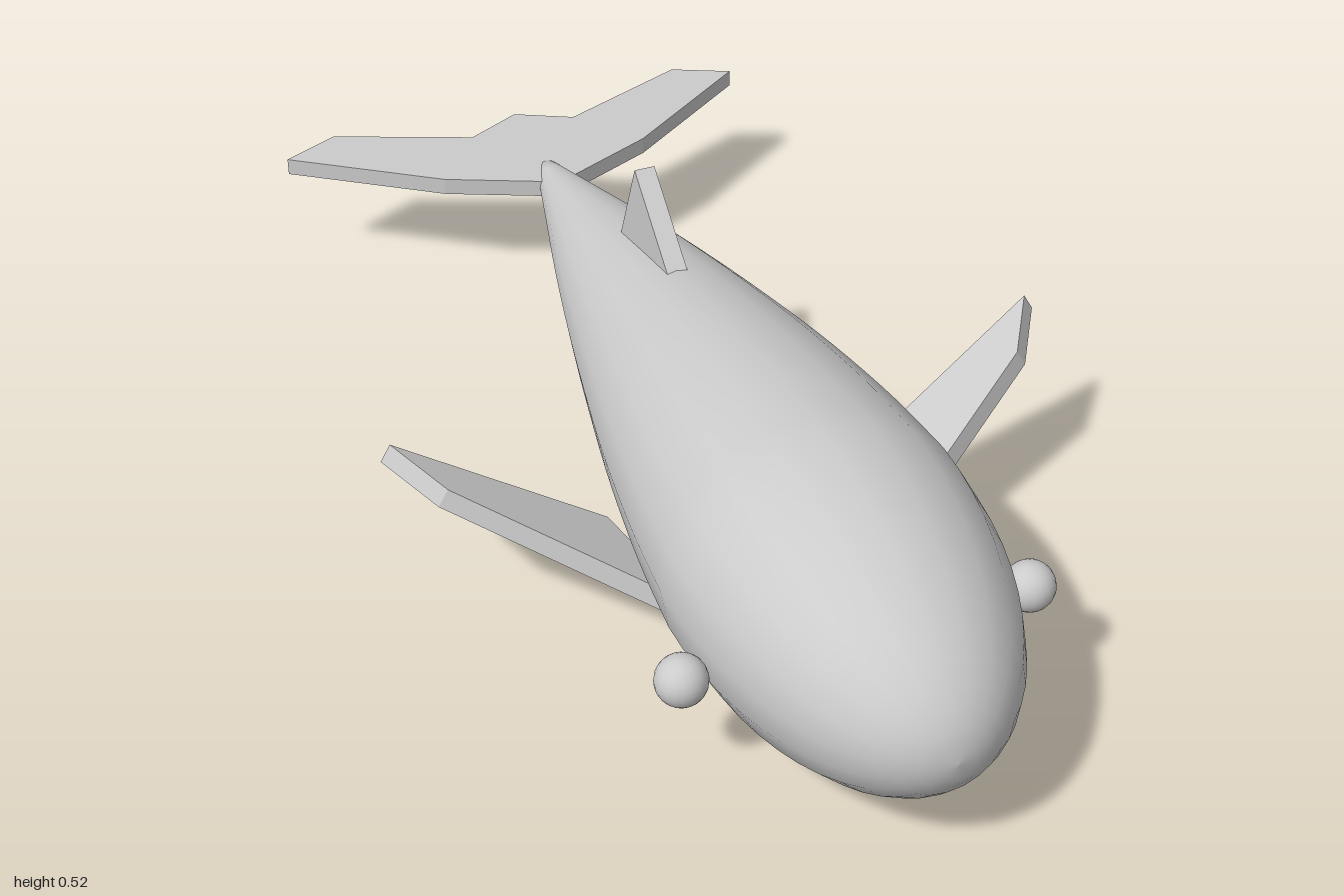
import * as THREE from 'three';

const grey = new THREE.MeshStandardMaterial({ color: 0xcccccc });
const V2 = (x, y) => new THREE.Vector2(x, y);

function addMesh(group, name, geometry) {
  const mesh = new THREE.Mesh(geometry, grey);
  mesh.name = name;
  group.add(mesh);
  return mesh;
}

// Flat plate: outline extruded to an even thickness
function plate(points, depth) {
  const shape = new THREE.Shape(points.map(([x, y]) => V2(x, y)));
  return new THREE.ExtrudeGeometry(shape, { depth, bevelEnabled: false });
}

// Horizontal plate from (x, z) corners, with its underside at y = 0
function horizontalPlate(points, depth) {
  return plate(points.map(([x, z]) => [x, -z]), depth).rotateX(-Math.PI / 2);
}

// Teardrop body: tapering tail, elliptical head
function bodyGeometry() {
  const tail = new THREE.SplineCurve([
    [0.02, -0.76], [0.06, -0.6], [0.11, -0.4], [0.155, -0.2], [0.195, 0],
    [0.223, 0.16], [0.247, 0.34], [0.26, 0.5],
  ].map(([r, z]) => V2(r, z)));
  const profile = [V2(0, -0.765), ...tail.getPoints(24)];
  for (let i = 1; i <= 14; i++) {
    const a = (i / 14) * Math.PI / 2;
    profile.push(V2(i === 14 ? 0 : 0.26 * Math.cos(a), 0.5 + 0.497 * Math.sin(a)));
  }
  const geometry = new THREE.LatheGeometry(profile, 20);
  geometry.rotateX(Math.PI / 2).scale(1, 0.935, 1);

  // Let the centreline dip a little towards the nose and tail
  const p = geometry.attributes.position;
  for (let i = 0; i < p.count; i++) {
    const d = p.getZ(i) - 0.5;
    const dip = d > 0 ? 0.012 * (d / 0.5) ** 2 : 0.02 * (d / 1.26) ** 2;
    p.setY(i, p.getY(i) + 0.248 - dip);
  }
  return geometry;
}

export function createModel() {
  const model = new THREE.Group();
  model.name = 'whale';
  addMesh(model, 'body', bodyGeometry());

  // Tail fluke
  const half = [[0.2, -0.77], [0.455, -0.95], [0.35, -1], [0.103, -0.897]];
  const mirrored = half.map(([x, z]) => [-x, z]).reverse();
  const fluke = horizontalPlate([[0, -0.68], ...half, [0, -0.95], ...mirrored], 0.032);
  addMesh(model, 'tailFluke', fluke).position.y = 0.213;

  // Dorsal fin, its base sunk into the back
  const dorsal = plate([[0.02, 0.357], [0.235, 0.527], [0.308, 0.357]], 0.036);
  dorsal.translate(0, 0, -0.018).rotateY(Math.PI / 2);
  addMesh(model, 'dorsalFin', dorsal);

  for (const [side, s] of [['left', 1], ['right', -1]]) {
    // Pectoral fin, swept back and raised by 30 degrees
    const outline = [[0, 0.385], [0.39, 0.2], [0.462, 0.1], [0.072, 0.17]];
    const fin = horizontalPlate(outline.map(([u, z]) => [s * u, z]), 0.034);
    const finMesh = addMesh(model, side + 'PectoralFin', fin);
    finMesh.rotation.z = s * Math.PI / 6;
    finMesh.position.set(s * 0.18, 0.074, 0);

    // Eye
    const eye = addMesh(model, side + 'Eye', new THREE.SphereGeometry(0.042, 20, 14));
    eye.position.set(s * 0.29, 0.213, 0.66);
  }
  return model;
}
